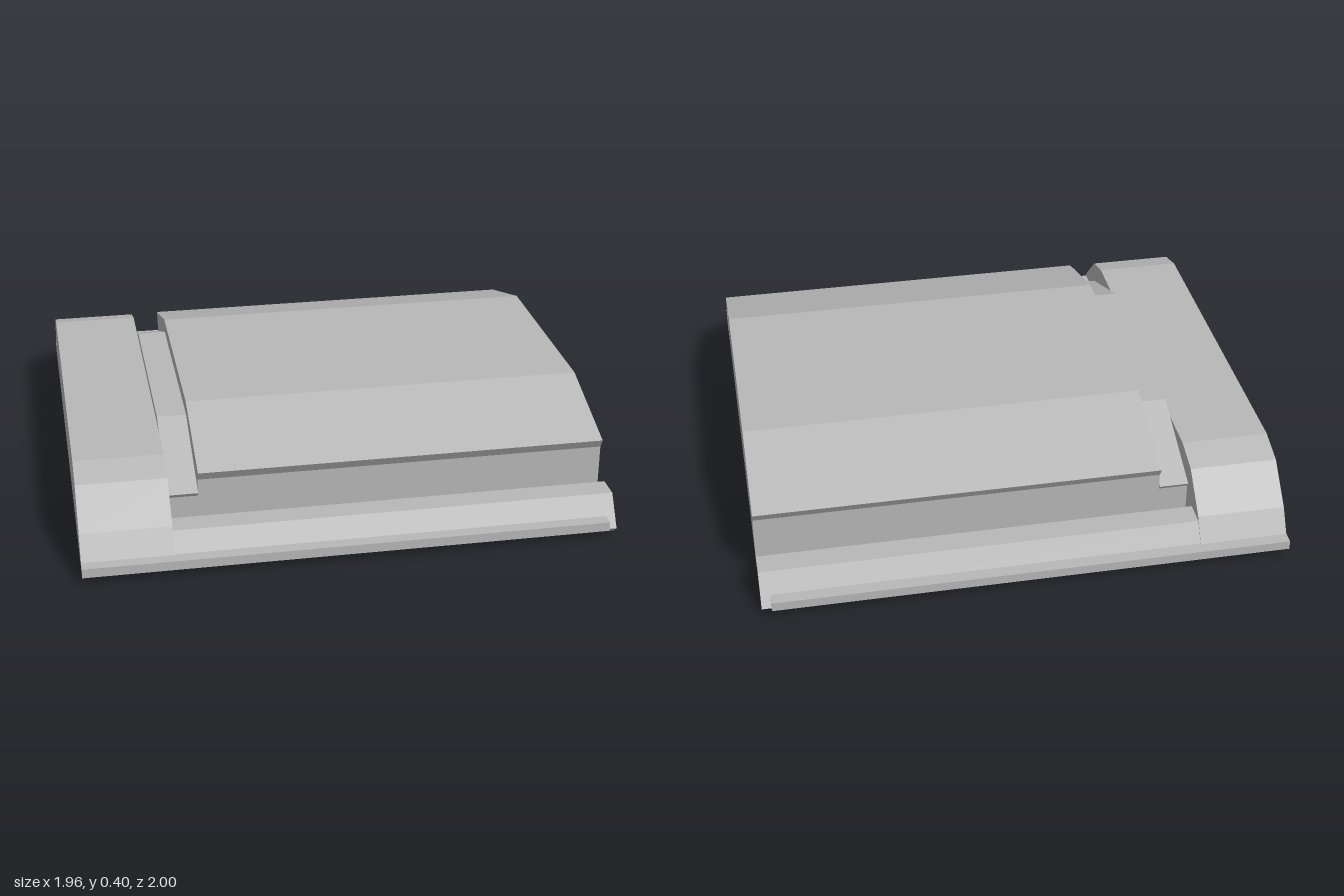
import * as THREE from 'three';

const grey = new THREE.MeshStandardMaterial({ color: 0xb8b8b8 });
grey.name = 'plain grey';

// Extrudes a closed [z, y] outline along x from x0 to x1.
function extrudeAlongX(name, outline, x0, x1) {
  const shape = new THREE.Shape(outline.map(([z, y]) => new THREE.Vector2(-z, y)));
  const geometry = new THREE.ExtrudeGeometry(shape, { depth: x1 - x0, bevelEnabled: false });
  geometry.rotateY(Math.PI / 2).translate(x0, 0, 0);
  const mesh = new THREE.Mesh(geometry, grey);
  mesh.name = name;
  return mesh;
}

// Completes a half outline (bottom to top, z > 0) with its mirror image.
const mirrored = half => [...half, ...half.map(([z, y]) => [-z, y]).reverse()];

export function createModel() {
  const model = new THREE.Group();
  model.name = 'slidingCover';

  // Raised end cap across the full width
  model.add(extrudeAlongX('endCap', mirrored([
    [1, 0.03], [1, 0.065], [0.955, 0.065], [0.9, 0.15], [0.77, 0.275], [0.65, 0.31],
  ]), -0.98, -0.65));

  // Base with side rails, hooked edges and grooves beside the central core
  model.add(extrudeAlongX('railBase', mirrored([
    [0.81, 0.03], [0.815, 0.035], [0.93, 0.035], [0.95, 0], [0.978, 0.025],
    [0.905, 0.135], [0.815, 0.135], [0.815, 0.07], [0.745, 0.07], [0.745, 0.18],
  ]), -0.65, 0.975));

  // Main roof with an undercut eave
  model.add(extrudeAlongX('roof', mirrored([
    [0.745, 0.18], [0.745, 0.245], [0.765, 0.28], [0.4, 0.395],
  ]), -0.54, 0.975));

  // Lower step between roof and end cap
  model.add(extrudeAlongX('roofStep', mirrored([
    [0.745, 0.18], [0.755, 0.195], [0.4, 0.34],
  ]), -0.65, -0.54));

  // Thin outer lips along both sides
  for (const s of [1, -1]) {
    const lip = new THREE.Mesh(new THREE.BoxGeometry(1.59, 0.035, 0.05), grey);
    lip.position.set(0.145, 0.0475, s * 0.975);
    lip.name = s > 0 ? 'frontLip' : 'backLip';
    model.add(lip);
  }
  return model;
}
